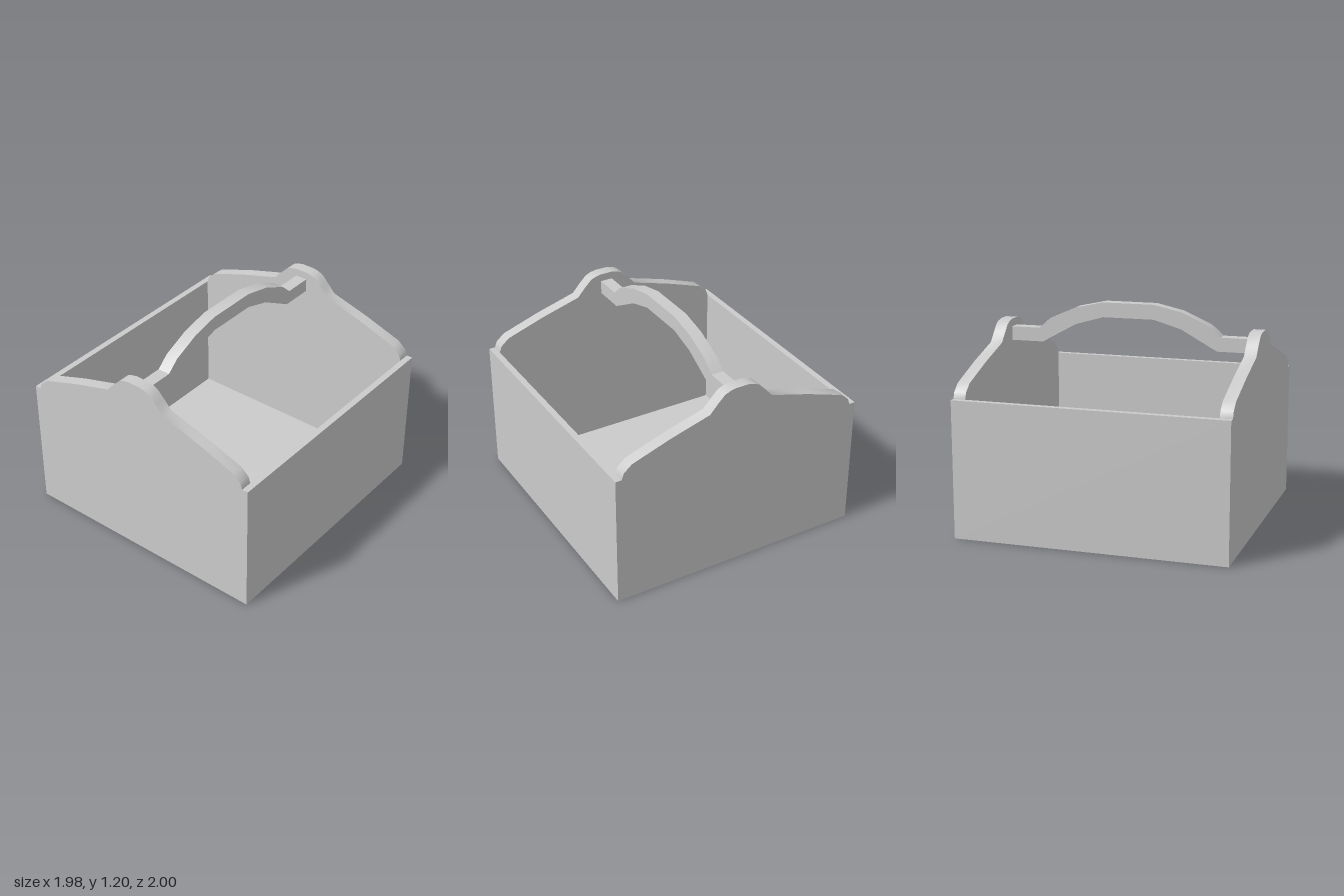
import * as THREE from 'three';
import { toCreasedNormals } from 'three/addons/utils/BufferGeometryUtils.js';

const WIDTH = 1.45, LENGTH = 1.5, WALL_HEIGHT = 0.755;
const SIDE = 0.035, END = 0.067, FLOOR = 0.035;

const material = new THREE.MeshStandardMaterial({ color: 0xcccccc });

function addMesh(parent, name, geometry, x = 0, y = 0, z = 0) {
  const mesh = new THREE.Mesh(geometry, material);
  mesh.name = name;
  mesh.position.set(x, y, z);
  parent.add(mesh);
  return mesh;
}

// Completes a half outline (from the outer edge inwards) with its mirror image
function mirrored(half) {
  return [...half, ...half.map(([x, y]) => [-x, y]).reverse()];
}

// Extrudes an outline, centred on its depth
function board(points, depth) {
  const shape = new THREE.Shape(points.map(([x, y]) => new THREE.Vector2(x, y)));
  const geometry = new THREE.ExtrudeGeometry(shape, { depth, bevelEnabled: false });
  geometry.translate(0, 0, -depth / 2);
  return toCreasedNormals(geometry, 0.6);
}

export function createModel() {
  const model = new THREE.Group();
  model.name = 'toolCaddy';

  // The whole caddy stands turned about the vertical axis
  const caddy = new THREE.Group();
  caddy.name = 'caddy';
  caddy.rotation.y = -0.479;
  model.add(caddy);

  // Floor board
  addMesh(caddy, 'floor',
    new THREE.BoxGeometry(WIDTH - 2 * SIDE, FLOOR, LENGTH - 2 * END), 0, FLOOR / 2, 0);

  // End boards: stepped shoulders rising to a rounded knob
  const inner = WIDTH / 2 - SIDE;
  const endGeometry = board(mirrored([
    [inner, 0], [inner, WALL_HEIGHT], [0.677, 0.79], [0.63, 0.83], [0.41, 0.905],
    [0.185, 0.97], [0.14, 1.02], [0.1, 1.06], [0.07, 1.073], [0.038, 1.08],
  ]), END);

  for (const s of [1, -1]) {
    addMesh(caddy, s > 0 ? 'leftWall' : 'rightWall',
      new THREE.BoxGeometry(SIDE, WALL_HEIGHT, LENGTH), s * (WIDTH - SIDE) / 2, WALL_HEIGHT / 2, 0);
    addMesh(caddy, s > 0 ? 'frontEnd' : 'backEnd', endGeometry, 0, 0, s * (LENGTH - END) / 2);
  }

  // Arched handle bridging the end boards
  const reach = LENGTH / 2 - END;
  const under = mirrored([[-reach, 0.96], [-0.5, 0.96], [-0.3, 1.07], [-0.145, 1.115]]);
  const over = mirrored([[reach, 1.037], [0.52, 1.037], [0.455, 1.095], [0.3, 1.163], [0.145, 1.197]]);
  const handle = addMesh(caddy, 'handle', board([...under, ...over], 0.07));
  handle.rotation.y = Math.PI / 2;

  return model;
}
